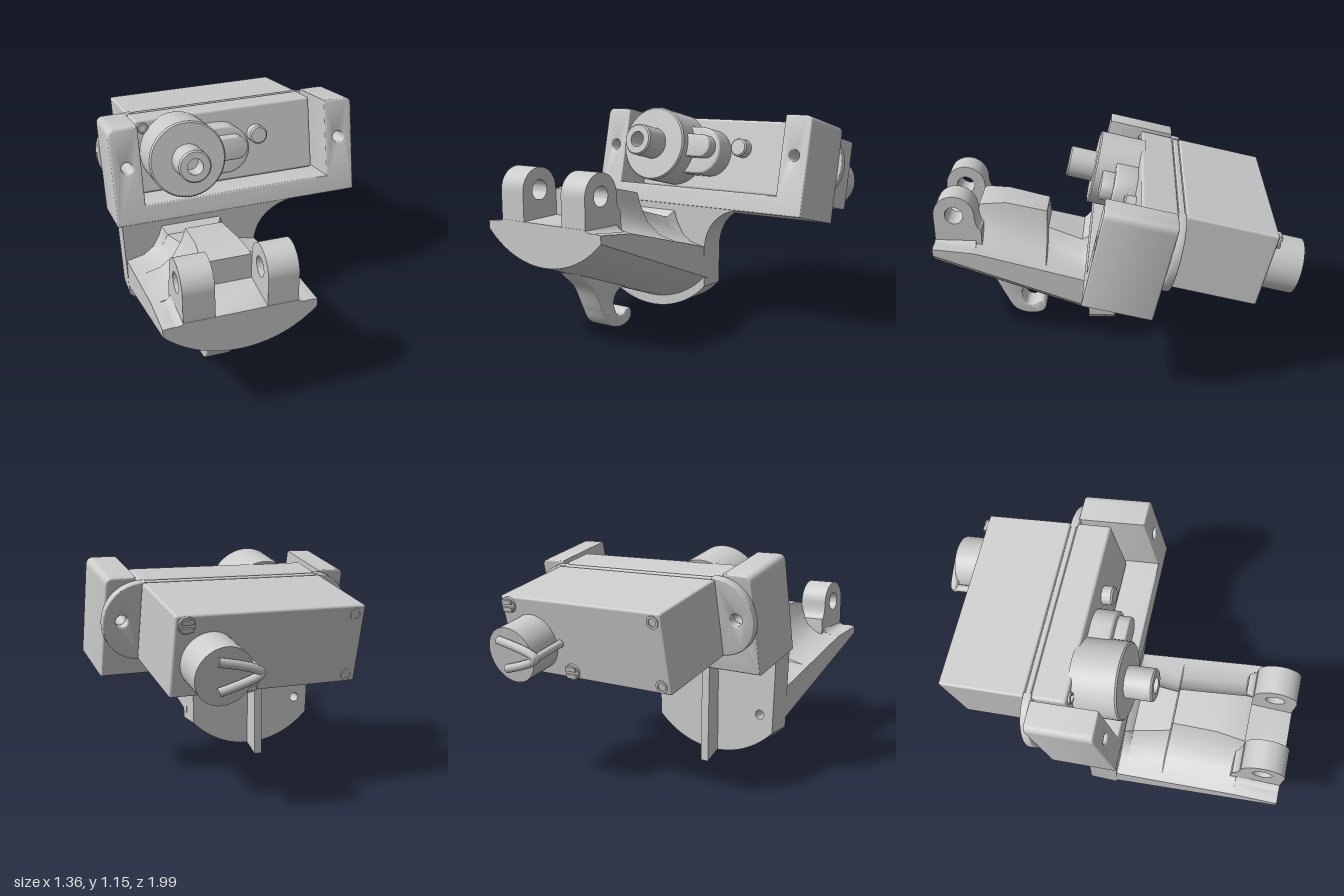
import * as THREE from 'three';
import { toCreasedNormals } from 'three/addons/utils/BufferGeometryUtils.js';
import { RoundedBoxGeometry } from 'three/addons/geometries/RoundedBoxGeometry.js';

const mat = new THREE.MeshStandardMaterial({ color: 0xcccccc });
const V2 = (x, y) => new THREE.Vector2(x, y);

function add(parent, name, geo, x = 0, y = 0, z = 0) {
  const m = new THREE.Mesh(geo, mat);
  m.name = name;
  m.position.set(x, y, z);
  parent.add(m);
  return m;
}

const circleHole = (x, y, r) => new THREE.Path().absarc(x, y, r, 0, Math.PI * 2, true);

function extrude(shape, depth, bevel = 0) {
  const g = new THREE.ExtrudeGeometry(shape, {
    depth: depth - 2 * bevel, curveSegments: 20, bevelEnabled: bevel > 0,
    bevelSize: bevel, bevelOffset: -bevel, bevelThickness: bevel, bevelSegments: 3,
  });
  g.translate(0, 0, bevel);
  return toCreasedNormals(g, 0.6);
}

// Shape drawn as (z, y), extruded across x and centred on it
function sideExtrude(shape, width, bevel = 0) {
  return extrude(shape, width, bevel).translate(0, 0, -width / 2).rotateY(-Math.PI / 2);
}

// Cylinder or tube along z from z = a to z = b
function barrel(r, a, b, bore = 0, soft = 0.008) {
  const pts = [V2(bore, a), V2(r, a), V2(r, b - soft), V2(r - soft, b), V2(bore, b)];
  if (bore) pts.push(V2(bore, a));
  return toCreasedNormals(new THREE.LatheGeometry(pts, 48).rotateX(Math.PI / 2).scale(1, 1, -1)
    .rotateY(Math.PI).scale(-1, 1, 1), 0.6);
}

// Arm cross-section: curved belly, short side walls, shelves and a central hump
function armSection(z, half, top) {
  const w = 0.355 + 0.015 * z, edge = 0.19 + 0.38 * z, belly = 0.04 + 0.37 * z;
  const rim = Math.min(0.37 + 0.277 * z, 0.61), d = top - rim, pts = [];
  const sag = edge - belly, R = (w * w + sag * sag) / (2 * sag), a = Math.asin(w / R);
  for (let i = 0; i <= 24; i++) {
    const t = a * (i / 12 - 1);
    pts.push(V2(R * Math.sin(t), belly + R * (1 - Math.cos(t))));
  }
  const fl = 0.33 - half;
  const up = [[w, rim], [0.33, rim + 0.005], [half + fl * 0.6, rim + 0.12 * d],
    [half + fl * 0.3, rim + 0.35 * d], [half + fl * 0.1, rim + 0.7 * d], [half, top]];
  up.forEach(([x, y]) => pts.push(V2(x, y)));
  up.reverse().forEach(([x, y]) => pts.push(V2(-x, y)));
  return pts;
}

function armGeometry() {
  // z, half width of hump, height of hump
  const rows = [[0.1, 0.16, 0.61], [0.155, 0.16, 0.59], [0.19, 0.14, 0.56], [0.384, 0.11, 0.62],
    [0.39, 0.095, 0.715], [0.62, 0.105, 0.77], [0.74, 0.12, 0.77], [0.77, 0.12, 0.765],
    [0.772, 0.27, 0.63], [1, 0.27, 0.625]];
  const secs = rows.map((r) => armSection(...r)), n = secs[0].length;
  const pos = [], idx = [];
  secs.forEach((s, k) => s.forEach((p) => pos.push(p.x, p.y, rows[k][0])));
  for (let k = 0; k < rows.length - 1; k++) {
    for (let i = 0; i < n; i++) {
      const a = k * n + i, b = k * n + (i + 1) % n;
      idx.push(a, b, b + n, a, b + n, a + n);
    }
  }
  const last = (rows.length - 1) * n;
  THREE.ShapeUtils.triangulateShape(secs[0], []).forEach(([a, b, c]) => idx.push(a, c, b));
  THREE.ShapeUtils.triangulateShape(secs[rows.length - 1], [])
    .forEach(([a, b, c]) => idx.push(last + a, last + b, last + c));
  const g = new THREE.BufferGeometry();
  g.setAttribute('position', new THREE.Float32BufferAttribute(pos, 3));
  g.setIndex(idx);
  return toCreasedNormals(g, 0.6);
}

function buildArm() {
  const arm = new THREE.Group();
  arm.name = 'arm';
  arm.position.x = -0.275;
  add(arm, 'armBody', armGeometry());

  // Upright plate flaring towards the bracket
  const plate = new THREE.Shape();
  armSection(0, 0.1, 0.6).slice(0, 25).forEach((p, i) => (i ? plate.lineTo(p.x, p.y) : plate.moveTo(p.x, p.y)));
  plate.lineTo(0.358, 0.41);
  plate.bezierCurveTo(0.37, 0.54, 0.46, 0.62, 0.6, 0.635);
  plate.lineTo(-0.37, 0.64);
  [-1, 1].forEach((s) => plate.holes.push(circleHole(s * 0.28, 0.28, 0.025)));
  add(arm, 'uprightPlate', extrude(plate, 0.148));

  // Vertical rib on the back
  const rib = new THREE.Shape([V2(0.02, 0.05), V2(-0.1, 0), V2(-0.09, 0.6), V2(0.02, 0.62)].reverse());
  add(arm, 'backRib', sideExtrude(rib, 0.045));

  // Hinge ears
  const ear = new THREE.Shape();
  ear.moveTo(0.74, 0.58);
  ear.lineTo(0.998, 0.58);
  ear.lineTo(0.998, 0.77);
  ear.absarc(0.885, 0.77, 0.113, 0, Math.PI, false);
  ear.quadraticCurveTo(0.772, 0.7, 0.74, 0.68);
  ear.holes.push(circleHole(0.885, 0.77, 0.05));
  [-1, 1].forEach((s) => add(arm, 'hingeEar', sideExtrude(ear, 0.15), s * 0.2));

  // Hook under the arm
  const hook = new THREE.Shape();
  hook.moveTo(0.86, 0.4);
  hook.splineThru([V2(0.8, 0.325), V2(0.72, 0.25), V2(0.66, 0.13), V2(0.61, 0.045), V2(0.53, 0.01),
    V2(0.45, 0.02), V2(0.42, 0.06), V2(0.435, 0.095), V2(0.465, 0.095), V2(0.49, 0.073),
    V2(0.535, 0.08), V2(0.562, 0.14), V2(0.55, 0.185), V2(0.51, 0.215), V2(0.44, 0.215)]);
  hook.lineTo(0.44, 0.27);
  add(arm, 'hook', sideExtrude(hook, 0.14, 0.008));
  return arm;
}

function buildBracket(parent) {
  // U-shaped frame with a screw hole in each post
  const s = new THREE.Shape();
  const r = 0.04;
  s.moveTo(-0.665, -0.26);
  s.lineTo(0.665, -0.26);
  s.lineTo(0.665, 0.26 - r);
  s.quadraticCurveTo(0.665, 0.26, 0.665 - r, 0.26);
  s.lineTo(0.51, 0.26);
  s.lineTo(0.51, -0.16);
  s.lineTo(-0.51, -0.16);
  s.lineTo(-0.51, 0.26);
  s.lineTo(-0.665 + r, 0.26);
  s.quadraticCurveTo(-0.665, 0.26, -0.665, 0.26 - r);
  [-1, 1].forEach((k) => s.holes.push(circleHole(k * 0.585, 0.05, 0.03)));
  add(parent, 'bracket', extrude(s, 0.36, 0.008), 0, 0, -0.18);
}

function buildMotor(parent) {
  const mid = 0.0475;
  add(parent, 'frontCase', new RoundedBoxGeometry(0.99, 0.405, 0.185, 3, 0.015), 0, mid, -0.0925);
  add(parent, 'caseCore', new THREE.BoxGeometry(0.97, 0.385, 0.6), 0, mid, -0.35);
  add(parent, 'middleCase', new RoundedBoxGeometry(0.99, 0.405, 0.03, 2, 0.008), 0, mid, -0.203);
  add(parent, 'rearCase', new RoundedBoxGeometry(0.99, 0.405, 0.47, 3, 0.012), 0, mid, -0.458);

  // Rounded mounting ears
  for (const k of [-1, 1]) {
    const ear = new THREE.Shape();
    ear.moveTo(0.47, -0.16);
    ear.bezierCurveTo(0.6, -0.16, 0.682, -0.06, 0.682, 0.05);
    ear.bezierCurveTo(0.682, 0.16, 0.6, 0.25, 0.47, 0.25);
    ear.holes.push(circleHole(0.585, 0.05, 0.032));
    const g = extrude(ear, 0.045, 0.006);
    if (k < 0) g.rotateZ(Math.PI).translate(0, 0.095, 0);
    add(parent, 'mountingEar', g, 0, 0, -0.224);
  }

  // Output knob with hollow shaft
  add(parent, 'knob', barrel(0.203, -0.02, 0.23), -0.275, 0.063, 0);
  add(parent, 'outputShaft', barrel(0.085, 0.2, 0.375, 0.042), -0.275, 0.063, 0);
  add(parent, 'shaftCore', barrel(0.05, 0.2, 0.27), -0.275, 0.063, 0);

  // Stepped gear cover and pins beside the knob
  const pill = (r, x0, x1) => {
    const p = new THREE.Shape();
    p.absarc(x1, 0, r, -Math.PI / 2, Math.PI / 2, false);
    p.absarc(x0, 0, r, Math.PI / 2, Math.PI * 1.5, false);
    return p;
  };
  add(parent, 'gearCover', extrude(pill(0.13, -0.2, -0.035), 0.13, 0.012), 0, 0.053, -0.01);
  add(parent, 'gearCoverStep', extrude(pill(0.062, -0.15, 0.006), 0.11, 0.008), 0, 0.073, 0.075);
  add(parent, 'pin', barrel(0.05, -0.02, 0.06), 0.172, 0.09, 0);
  add(parent, 'cornerBush', barrel(0.03, -0.02, 0.012, 0.018, 0.003), -0.45, 0.205, 0);

  // Cable outlet with bent wire
  add(parent, 'cableOutlet', barrel(0.145, -0.87, -0.6), 0.31, 0.02, 0);
  const bend = new THREE.CatmullRomCurve3([[0.36, 0.1], [0.24, 0.075], [0.16, 0.05], [0.135, 0.03],
    [0.16, 0.01], [0.24, -0.02], [0.34, -0.05]].map(([x, y]) => new THREE.Vector3(x, y, -0.885)));
  add(parent, 'wire', new THREE.TubeGeometry(bend, 40, 0.022, 10));
  const lead = new THREE.LineCurve3(new THREE.Vector3(0.14, 0.03, -0.895), new THREE.Vector3(0.14, 0.03, -0.67));
  add(parent, 'wireLead', new THREE.TubeGeometry(lead, 1, 0.02, 10));

  // Slotted screws and empty screw seats on the rear
  for (const [x, y] of [[0.44, 0.205], [0.09, -0.115]]) {
    add(parent, 'screw', barrel(0.042, -0.705, -0.66), x, y, 0);
    for (const k of [-1, 1]) {
      add(parent, 'screwHead', new THREE.BoxGeometry(0.06, 0.022, 0.015), x, y + k * 0.019, -0.708);
    }
  }
  for (const y of [0.205, -0.115]) add(parent, 'screwSeat', barrel(0.032, -0.698, -0.66, 0.02, 0.002), -0.445, y, 0);
}

export function createModel() {
  const model = new THREE.Group();
  model.name = 'motorMount';
  model.add(buildArm());
  // Bracket and motor share one tilted frame
  const head = new THREE.Group();
  head.name = 'tiltedHead';
  head.position.set(0, 0.839, -0.083);
  head.rotation.x = -0.227;
  buildBracket(head);
  buildMotor(head);
  model.add(head);
  return model;
}
